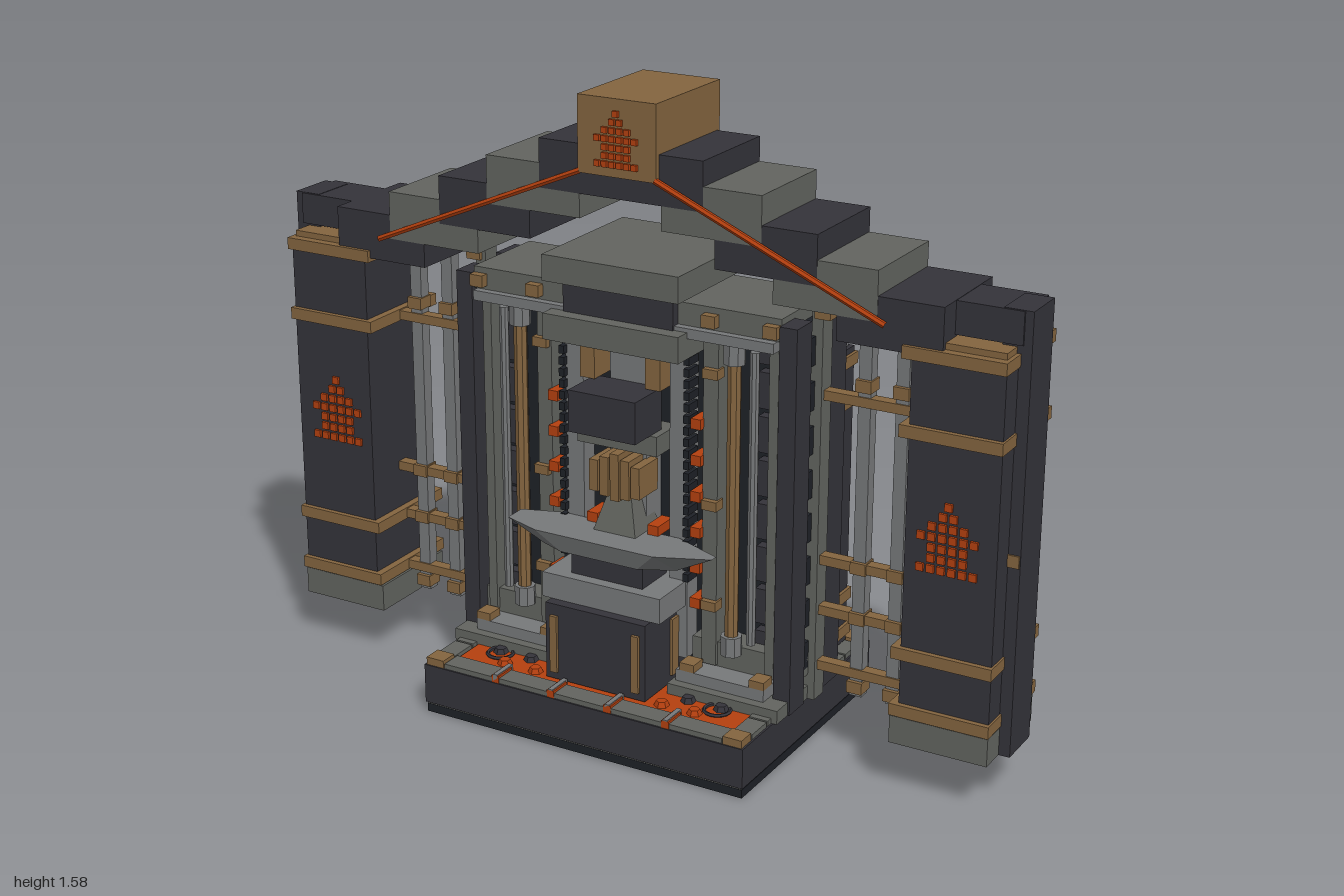
import * as THREE from 'three';

export function createModel() {
  const root = new THREE.Group();
  const mat = (color) => new THREE.MeshStandardMaterial({ color, flatShading: true });
  const DARK = mat(0x34333a), BLACK = mat(0x1e2127), GREY = mat(0x62645f), LIGHT = mat(0x77797a),
    BROWN = mat(0x84653f), ORANGE = mat(0xb5400f);

  let target = root;
  const group = (name) => {
    target = new THREE.Group();
    target.name = name;
    root.add(target);
  };
  const add = (name, geo, m, x = 0, y = 0, z = 0) => {
    const mesh = new THREE.Mesh(geo, m);
    mesh.name = name;
    mesh.position.set(x, y, z);
    target.add(mesh);
    return mesh;
  };
  // Box given by its limits; pair() builds it on both sides of x = 0
  const box = (name, m, x0, x1, y0, y1, z0, z1) =>
    add(name, new THREE.BoxGeometry(x1 - x0, y1 - y0, z1 - z0), m, (x0 + x1) / 2, (y0 + y1) / 2, (z0 + z1) / 2);
  const pair = (name, m, x0, x1, ...r) => {
    box(name, m, x0, x1, ...r);
    box(name, m, -x1, -x0, ...r);
  };
  // Stepped ornament of small square studs
  const studs = (cx, y0, z, step, rows) => rows.forEach((n, r) => {
    for (let i = 0; i < n; i++) {
      const x = cx + (i - (n - 1) / 2) * step, y = y0 + r * step, h = step * 0.36;
      box('ornamentStud', ORANGE, x - h, x + h, y - h, y + h, z - 0.005, z + 0.006);
    }
  });

  // Plinth with ember beds and a tiled rim
  group('base');
  box('plinthFoot', BLACK, -0.447, 0.447, 0, 0.022, -0.338, 0.338);
  box('plinth', DARK, -0.45, 0.45, 0.027, 0.13, -0.342, 0.342);
  box('plinthJoint', GREY, -0.445, 0.445, 0.02, 0.03, -0.337, 0.337);
  box('emberBed', ORANGE, -0.39, 0.39, 0.13, 0.137, -0.29, 0.28);
  for (const s of [-1, 1]) {
    for (let i = 0; i < 5; i++) {
      const x = -0.32 + i * 0.16;
      box('rimTile', GREY, x - 0.072, x + 0.072, 0.13, 0.143, s * 0.31 - 0.028, s * 0.31 + 0.028);
      if (i < 4) box('rimClip', ORANGE, x + 0.07, x + 0.09, 0.13, 0.149, s * 0.31 - 0.03, s * 0.31 + 0.03);
      if (i < 4) box('rimClipCore', LIGHT, x + 0.074, x + 0.086, 0.13, 0.152, s * 0.305 - 0.035, s * 0.305 + 0.035);
    }
    pair('rimCorner', BROWN, 0.395, 0.445, 0.13, 0.15, s * 0.315 - 0.024, s * 0.315 + 0.024);
    for (const z of [0.08, 0.17, 0.25])
      pair('rimSideTile', GREY, 0.395, 0.445, 0.13, 0.143, s * z - 0.037, s * z + 0.037);
    add('emberRing', new THREE.TorusGeometry(0.032, 0.005, 5, 16).rotateX(Math.PI / 2), DARK, s * 0.31, 0.14, 0.21);
    for (let i = 0; i < 4; i++)
      add('ember', new THREE.CylinderGeometry(0.014, 0.02, 0.014, 6), i % 2 ? DARK : ORANGE,
        s * (0.18 + i * 0.045), 0.143, 0.25 - (i % 2) * 0.05);
  }

  // Outer pillars with straps, feet and outer spine
  group('pillars');
  pair('pillar', DARK, 0.745, 0.97, 0.13, 1.09, -0.13, 0.13);
  pair('pillarFoot', GREY, 0.725, 0.972, 0.13, 0.2, -0.135, 0.135);
  pair('pillarSpine', DARK, 0.93, 1, 0.13, 1.21, -0.055, 0.065);
  pair('pillarCap', BROWN, 0.76, 0.965, 1.09, 1.125, -0.12, 0.12);
  for (const y of [0.22, 0.365, 0.91, 1.095])
    pair('pillarStrap', BROWN, 0.725, 0.975, y - 0.015, y + 0.015, -0.143, 0.143);
  pair('spinePin', BROWN, 0.965, 0.998, 0.605, 0.635, 0.05, 0.07);
  for (const x of [-0.85, 0.85]) studs(x, 0.59, 0.131, 0.026, [6, 4, 4, 6, 4, 2, 1]);

  // Open railing between pillars and hearth frame
  group('railings');
  for (const y of [0.22, 0.365, 0.495, 0.91])
    pair('rail', BROWN, 0.44, 0.76, y - 0.012, y + 0.012, -0.012, 0.018);
  for (const x of [0.58, 0.675]) {
    pair('bar', LIGHT, x - 0.016, x + 0.016, 0.16, 1.12, -0.018, 0.014);
    for (const y of [0.185, 0.365, 0.495, 0.95])
      pair('barClamp', BROWN, x - 0.02, x + 0.02, y - 0.015, y + 0.015, -0.022, 0.024);
  }

  // Stepped arch and keystone
  group('roof');
  box('archCrown', DARK, -0.22, 0.22, 1.34, 1.46, -0.137, 0.137);
  [[0.11, 0.37, 1.28, GREY], [0.25, 0.51, 1.21, DARK], [0.4, 0.66, 1.15, GREY], [0.56, 0.82, 1.09, DARK]]
    .forEach(([a, b, y, m], i) => pair('archStep', m, a, b, y, y + 0.12, -0.136 + i * 0.001, 0.136 - i * 0.001));
  pair('archEnd', DARK, 0.8, 0.98, 1.13, 1.209, -0.07, 0.07);
  box('keystone', BROWN, -0.105, 0.105, 1.395, 1.58, -0.15, 0.15);
  studs(0, 1.425, 0.152, 0.02, [6, 4, 4, 6, 4, 2, 1]);
  for (const s of [-1, 1]) {
    const path = new THREE.LineCurve3(new THREE.Vector3(s * 0.685, 1.15, 0.146), new THREE.Vector3(s * 0.1, 1.4, 0.146));
    add('rope', new THREE.TubeGeometry(path, 1, 0.008, 6), ORANGE);
  }

  // Hearth frame: back wall, ladder sides, beams
  group('hearthFrame');
  box('backWall', BLACK, -0.45, 0.45, 0.13, 1.08, -0.12, 0.03);
  pair('sideWall', DARK, 0.41, 0.465, 0.13, 1.1, -0.125, -0.04);
  pair('frontSidePost', DARK, 0.42, 0.465, 0.13, 1.1, 0.06, 0.135);
  pair('sidePost', GREY, 0.45, 0.478, 0.13, 1.13, -0.02, 0.03);
  for (let i = 0; i < 8; i++) {
    const y = 0.25 + i * 0.11;
    pair('sideRung', BLACK, 0.43, 0.46, y - 0.035, y + 0.035, -0.05, 0.07);
    pair('slat', DARK, 0.33, 0.395, y - 0.045, y + 0.045, 0.03, 0.06);
  }
  box('topBeam', GREY, -0.42, 0.42, 1.06, 1.115, -0.125, 0.125);
  box('lowerBeam', LIGHT, -0.41, 0.41, 1.035, 1.06, 0.03, 0.145);
  box('upperLintel', GREY, -0.185, 0.185, 1.13, 1.195, -0.187, 0.187);
  box('lintelCore', DARK, -0.15, 0.15, 1.05, 1.14, -0.15, 0.15);
  box('lowerLintel', GREY, -0.185, 0.185, 0.985, 1.05, -0.187, 0.187);
  for (const x of [0.08, 0.24, 0.4])
    for (const z of [-0.135, 0.135])
      pair('beamPeg', BROWN, x - 0.018, x + 0.018, 1.07, 1.1, z - 0.012, z + 0.012);
  pair('beamEnd', BROWN, 0.46, 0.5, 1.1, 1.13, -0.03, 0.04);
  // Front columns
  for (const [x, w, m] of [[0.145, 0.025, LIGHT], [0.23, 0.02, GREY], [0.395, 0.012, GREY]])
    pair('column', m, x - w, x + w, 0.2, 1.04, 0.06, 0.11);
  for (const s of [-1, 1]) {
    add('pole', new THREE.CylinderGeometry(0.017, 0.017, 0.76, 8), BROWN, s * 0.295, 0.64, 0.115);
    for (const y of [0.27, 1.01]) add('poleCap', new THREE.CylinderGeometry(0.027, 0.027, 0.05, 8), LIGHT, s * 0.295, y, 0.115);
    add('thinPole', new THREE.CylinderGeometry(0.012, 0.012, 0.74, 8), LIGHT, s * 0.345, 0.65, 0.11);
  }
  for (let i = 0; i < 6; i++) {
    const y = 0.36 + i * 0.092;
    pair('glowStud', ORANGE, 0.185, 0.212, y - 0.013, y + 0.013, 0.07, 0.125);
  }
  for (let i = 0; i < 20; i++) {
    const y = 0.42 + i * 0.029;
    pair('chainLink', BLACK, 0.165, 0.18, y - 0.01, y + 0.01, 0.08, 0.125);
  }
  for (const y of [0.36, 0.62, 0.95])
    pair('columnStrap', BROWN, 0.215, 0.255, y - 0.012, y + 0.012, 0.09, 0.125);

  // Stepped ledges at the foot of the frame
  group('ledges');
  pair('lowLedge', GREY, 0.16, 0.46, 0.13, 0.165, 0, 0.19);
  pair('midLedge', LIGHT, 0.17, 0.41, 0.165, 0.195, 0, 0.165);
  pair('highLedge', GREY, 0.18, 0.46, 0.195, 0.26, 0, 0.1);
  for (const x of [0.2, 0.39]) pair('ledgePeg', BROWN, x - 0.02, x + 0.02, 0.195, 0.215, 0.12, 0.165);

  // Hammer hanging in the centre, gripped by fingers
  group('hammer');
  box('shaft', LIGHT, -0.05, 0.05, 0.5, 1.0, 0.03, 0.1);
  box('hammerHead', DARK, -0.092, 0.092, 0.78, 0.885, 0.1, 0.225);
  pair('headCheek', BROWN, 0.07, 0.11, 0.89, 0.97, 0.06, 0.14);
  box('headCollar', GREY, -0.11, 0.11, 0.73, 0.78, 0.05, 0.155);
  for (let i = 0; i < 5; i++) {
    const x = -0.058 + i * 0.029, low = 0.6 + Math.abs(i - 2) * 0.008;
    box('finger', BROWN, x - 0.012, x + 0.012, low, 0.72 - Math.abs(i - 2) * 0.012, 0.08, 0.168);
  }
  add('grip', new THREE.CylinderGeometry(0.045, 0.085, 0.1, 4, 1).rotateY(Math.PI / 4), GREY, 0, 0.56, 0.11);
  pair('emberChip', ORANGE, 0.07, 0.1, 0.515, 0.54, 0.06, 0.13);

  // Anvil on its strapped block
  group('anvil');
  box('anvilBlock', DARK, -0.14, 0.14, 0.14, 0.34, 0.06, 0.262);
  pair('blockStrap', BROWN, 0.105, 0.125, 0.16, 0.31, 0.2, 0.27);
  pair('blockSideStrap', BROWN, 0.12, 0.147, 0.16, 0.31, 0.11, 0.14);
  box('anvilFoot', LIGHT, -0.165, 0.165, 0.34, 0.405, 0.07, 0.235);
  box('anvilWaist', DARK, -0.1, 0.1, 0.405, 0.47, 0.09, 0.205);
  const face = new THREE.Shape([[-0.28, -0.03], [-0.18, -0.065], [0.15, -0.065], [0.28, -0.01],
    [0.28, 0.01], [0.15, 0.065], [-0.18, 0.065], [-0.28, 0.03]].map(([x, y]) => new THREE.Vector2(x, y)));
  const faceGeo = new THREE.ExtrudeGeometry(face, { depth: 0.05, bevelEnabled: false }).rotateX(-Math.PI / 2);
  // Draw the underside in so the horns taper upward
  const p = faceGeo.attributes.position;
  for (let i = 0; i < p.count; i++)
    if (p.getY(i) < 0.01) p.setXYZ(i, p.getX(i) * 0.65, p.getY(i), p.getZ(i) * 0.75);
  faceGeo.computeVertexNormals();
  add('anvilFace', faceGeo, LIGHT, 0, 0.465, 0.178);

  // Rear slab with banded corner posts
  group('rearSlab');
  box('slab', BLACK, -0.39, 0.39, 0.15, 0.935, -0.272, -0.12);
  pair('slabPost', DARK, 0.35, 0.412, 0.15, 0.935, -0.28, -0.13);
  const cap = box('slabCap', LIGHT, -0.4, 0.4, 0.93, 0.955, -0.27, -0.12);
  cap.rotation.x = 0.06;
  for (const y of [0.185, 0.28, 0.8, 0.905])
    pair('slabBand', BROWN, 0.345, 0.42, y - 0.015, y + 0.015, -0.287, -0.125);
  return root;
}
